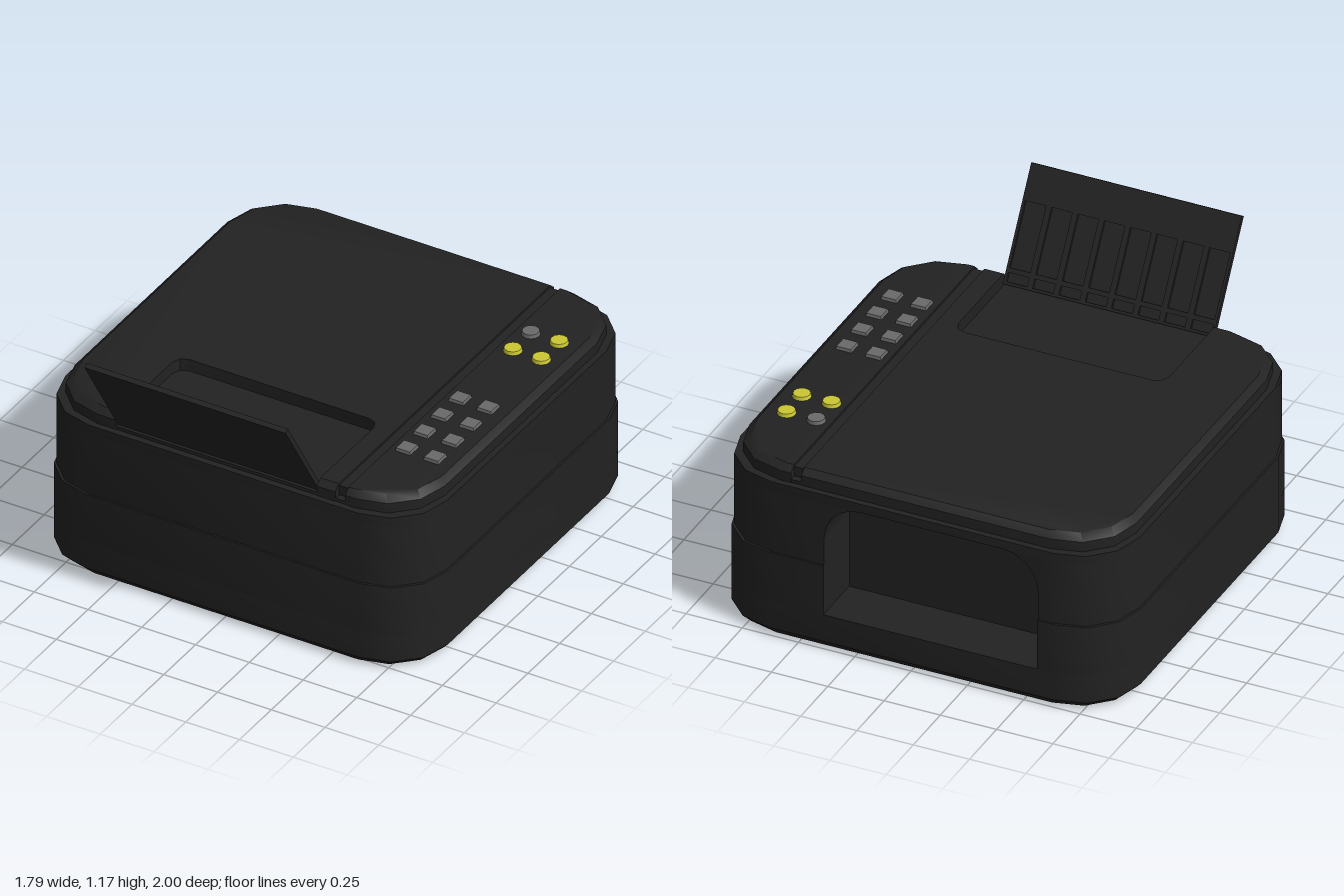
import * as THREE from 'three';
import { toCreasedNormals } from 'three/addons/utils/BufferGeometryUtils.js';

const material = (name, color) => {
  const m = new THREE.MeshStandardMaterial({ color });
  m.name = name;
  return m;
};

const YC = 0.105; // shape-plane centre of the body (shape y = -z)

// Points of one rounded corner; quadrants run counter-clockwise from (+x, back)
function corner(q, h, r = 0.26) {
  const sx = q === 0 || q === 3 ? 1 : -1;
  const sy = q < 2 ? 1 : -1;
  return [0, 1, 2, 3].map((k) => {
    const a = ((q * 90 + k * 30) * Math.PI) / 180;
    return [sx * (h - r) + r * Math.cos(a), YC + sy * (h - r) + r * Math.sin(a)];
  });
}

const toShape = (pts) => new THREE.Shape(pts.map(([x, y]) => new THREE.Vector2(x, y)));
const extrude = (shape, depth) => new THREE.ExtrudeGeometry(shape, { depth, bevelEnabled: false });

// Horizontal slab from y0 to y1; the optional rule moves its vertices
function slab(pts, y0, y1, rule) {
  const g = extrude(toShape(pts), y1 - y0);
  g.rotateX(-Math.PI / 2).translate(0, y0, 0);
  if (rule) {
    const p = g.attributes.position;
    const v = new THREE.Vector3();
    for (let i = 0; i < p.count; i++) {
      v.fromBufferAttribute(p, i);
      rule(v);
      p.setXYZ(i, v.x, v.y, v.z);
    }
  }
  return toCreasedNormals(g, 0.62);
}

export function createModel() {
  const model = new THREE.Group();
  model.name = 'printer';
  const black = material('black plastic', 0x222222);
  const grey = material('grey button', 0x6a6a6a);
  const yellow = material('yellow button', 0xcbc733);

  const add = (name, geometry, mat = black, parent = model) => {
    const mesh = new THREE.Mesh(geometry, mat);
    mesh.name = name;
    parent.add(mesh);
    return mesh;
  };

  // Body outlines, plain and with the rear paper bay cut in
  const bay = { left: 0.39, right: -0.56, floor: 0.16, top: 0.68, inner: 0.76 };
  const full = (h) => [0, 1, 2, 3].flatMap((q) => corner(q, h));
  const notched = (h) => [
    ...corner(0, h),
    [bay.left, YC + h], [bay.left, bay.inner], [bay.right, bay.inner], [bay.right, YC + h],
    ...corner(1, h), ...corner(2, h), ...corner(3, h),
  ];
  const LOW = 0.895;
  const UP = 0.887;

  // Body in layers, the lowest one chamfered inwards
  add('baseChamfer', slab(full(LOW), 0, 0.035, (v) => {
    if (v.y < 0.01) {
      v.x *= 0.966;
      v.z = -YC + (v.z + YC) * 0.966;
    }
  }));
  add('lowerBodyFloor', slab(full(LOW), 0.035, bay.floor));
  add('lowerBody', slab(notched(LOW), bay.floor, 0.39));
  add('upperBody', slab(notched(UP), 0.39, bay.top));
  add('upperBodyTop', slab(full(UP), bay.top, 0.72));

  // Rounded upper corners of the paper bay
  for (const [x, s] of [[bay.right, 1], [bay.left, -1]]) {
    const r = 0.16;
    const pts = [[0, 0]];
    for (let k = 0; k <= 5; k++) {
      const a = Math.PI - (k / 5) * (Math.PI / 2);
      pts.push([s * (r + r * Math.cos(a)), -r + r * Math.sin(a)]);
    }
    const g = extrude(toShape(pts), YC + UP - bay.inner);
    g.translate(x, bay.top, -(YC + UP));
    add('bayCorner', toCreasedNormals(g, 0.62));
  }

  // Lid: scanner cover with a tray recess, and control panel beside a groove
  const H = 0.86;
  const back = YC + H;
  const front = YC - H;
  const cover = [
    ...corner(1, H), ...corner(2, H),
    [-0.515, front], [-0.515, -0.31], [-0.5, -0.275], [-0.465, -0.26],
    [0.37, -0.26], [0.405, -0.275], [0.42, -0.31], [0.42, front],
    [0.505, front], [0.505, back],
  ];
  const panel = [...corner(3, H), ...corner(0, H), [0.55, back], [0.55, front]];
  // Only the outer edge of the lid leans in; recess and groove walls stay upright
  const lean = (v) => {
    if (v.y < 0.785) return;
    const inX = v.x > -0.52 && v.x < 0.56;
    const inZ = inX && Math.abs(v.z + YC) < H - 0.01;
    if (!inX) v.x *= 0.968;
    if (!inZ) v.z = -YC + (v.z + YC) * 0.968;
  };
  add('lidFloor', slab(full(H - 0.002), 0.715, 0.735));
  for (const [name, pts] of [['scannerCover', cover], ['controlPanel', panel]]) {
    add(name, slab(pts, 0.72, 0.765));
    add(name + 'Edge', slab(pts, 0.765, 0.79, lean));
  }
  add('grooveStrip', new THREE.BoxGeometry(0.045, 0.05, 1.66))
    .position.set(0.5275, 0.755, -YC);

  // Raised tray: thin plate with a ribbed sheet on its inner side
  const tray = new THREE.Group();
  tray.name = 'tray';
  tray.position.set(-0.0475, 0.74, 0.73);
  tray.rotation.x = 0.555;
  model.add(tray);
  const W = 0.935;
  const L = 0.5;
  add('trayPlate', new THREE.BoxGeometry(W, L, 0.01).translate(0, L / 2, 0.005), black, tray);
  const ribs = toShape([[-W / 2, 0], [W / 2, 0], [W / 2, L], [-W / 2, L]]);
  const pitch = W / 8;
  for (let i = 0; i < 8; i++) {
    const x = -W / 2 + pitch * (i + 0.5);
    for (const [y0, y1] of [[0.012, 0.05], [0.07, 0.345]]) {
      const w = 0.046;
      ribs.holes.push(new THREE.Path([[-w, y0], [-w, y1], [w, y1], [w, y0]]
        .map(([dx, y]) => new THREE.Vector2(x + dx, y))));
    }
  }
  add('trayRibs', extrude(ribs, 0.012).translate(0, 0, -0.012), black, tray);

  // Round buttons
  for (const x of [0.615, 0.747]) {
    for (const z of [-0.597, -0.456]) {
      const g = toCreasedNormals(new THREE.CylinderGeometry(0.036, 0.042, 0.025, 12), 0.62);
      add('roundButton', g, x < 0.7 && z < -0.5 ? grey : yellow).position.set(x, 0.793, z);
    }
  }

  // Square keypad
  for (const x of [0.613, 0.744]) {
    for (let i = 0; i < 4; i++) {
      const g = new THREE.CylinderGeometry(0.045, 0.053, 0.025, 4).rotateY(Math.PI / 4);
      add('squareButton', toCreasedNormals(g, 0.62), grey).position.set(x, 0.791, -0.044 + i * 0.139);
    }
  }

  return model;
}
